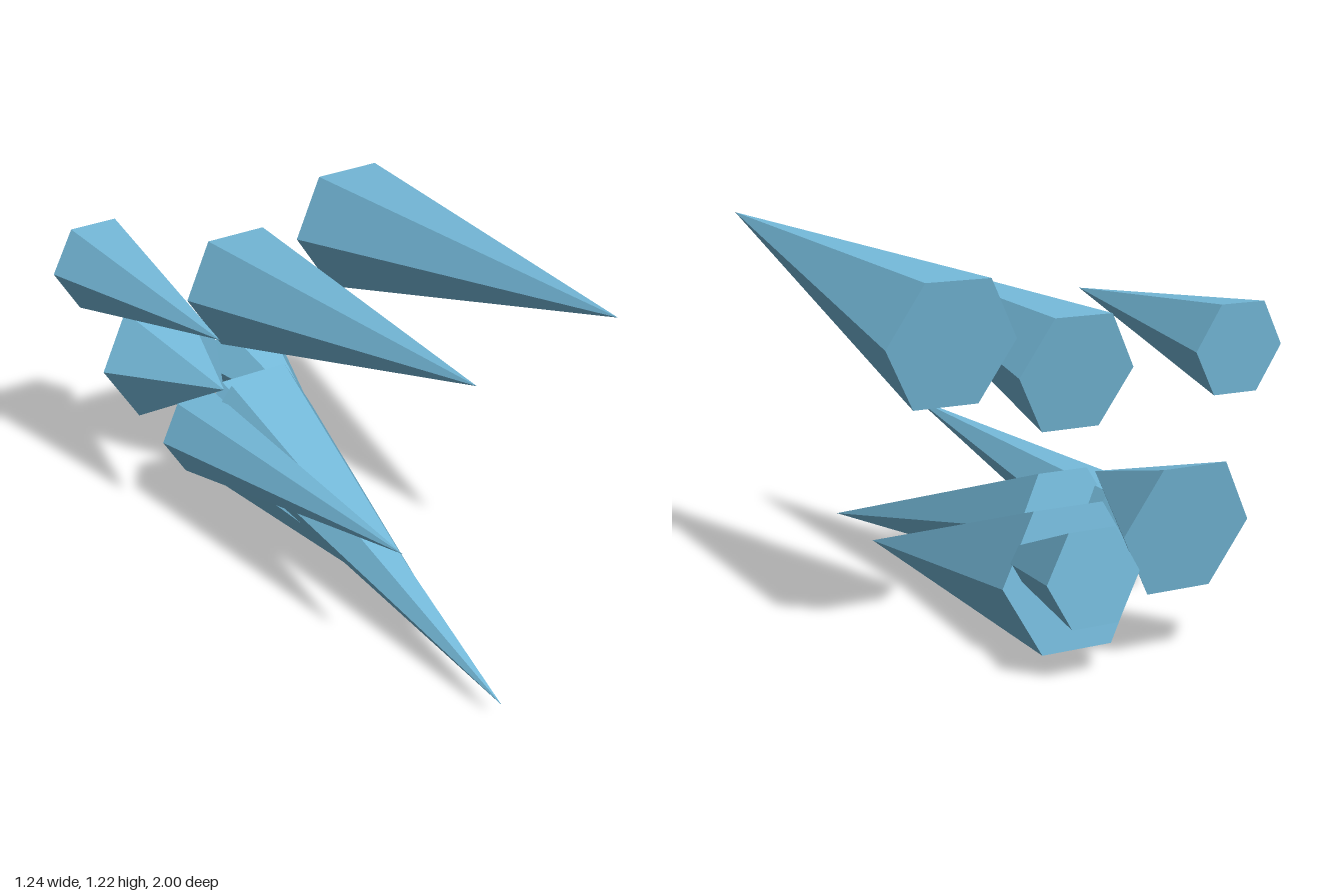
import * as THREE from 'three';

// Each shard: base centre, base radius and the height/depth of its tip.
// All shards tilt only up or down, so the tip shares the base's x.
const SHARDS = [
  { name: 'upperLeftShard', base: [0.391, 0.955, -0.562], radius: 0.226, tip: [1.225, 0.88] },
  { name: 'upperMiddleShard', base: [-0.05, 0.832, -0.57], radius: 0.211, tip: [1.09, 0.80] },
  { name: 'upperRightShard', base: [-0.457, 0.911, -0.841], radius: 0.163, tip: [1.0, 0.01] },
  { name: 'lowerRightShard', base: [-0.24, 0.323, -0.555], radius: 0.145, tip: [0.53, 0.715] },
  { name: 'lowerFrontShard', base: [-0.057, 0.357, -0.515], radius: 0.181, tip: [0.072, 0.995] },
  { name: 'bottomShard', base: [0.027, 0.22, -0.667], radius: 0.254, tip: [0.07, 0.575] },
  { name: 'rearRightShard', base: [-0.173, 0.413, -0.966], radius: 0.229, tip: [0.498, -0.495] },
  { name: 'rearLeftShard', base: [0.177, 0.316, -0.989], radius: 0.163, tip: [0.272, -0.44] },
];

// Six-sided spike with its base at the origin, pointing along +z
function spikeGeometry(radius, length) {
  return new THREE.ConeGeometry(radius, length, 6)
    .rotateY(Math.PI / 2) // corners on the left and right
    .translate(0, length / 2, 0)
    .rotateX(Math.PI / 2);
}

export function createModel() {
  const group = new THREE.Group();
  group.name = 'iceShards';
  const ice = new THREE.MeshStandardMaterial({ color: 0x74b9d9, flatShading: true });
  ice.name = 'ice blue';

  for (const { name, base, radius, tip } of SHARDS) {
    const dy = tip[0] - base[1];
    const dz = tip[1] - base[2];
    const shard = new THREE.Mesh(spikeGeometry(radius, Math.hypot(dy, dz)), ice);
    shard.name = name;
    shard.position.set(...base);
    shard.rotation.x = -Math.atan2(dy, dz);
    group.add(shard);
  }
  return group;
}
